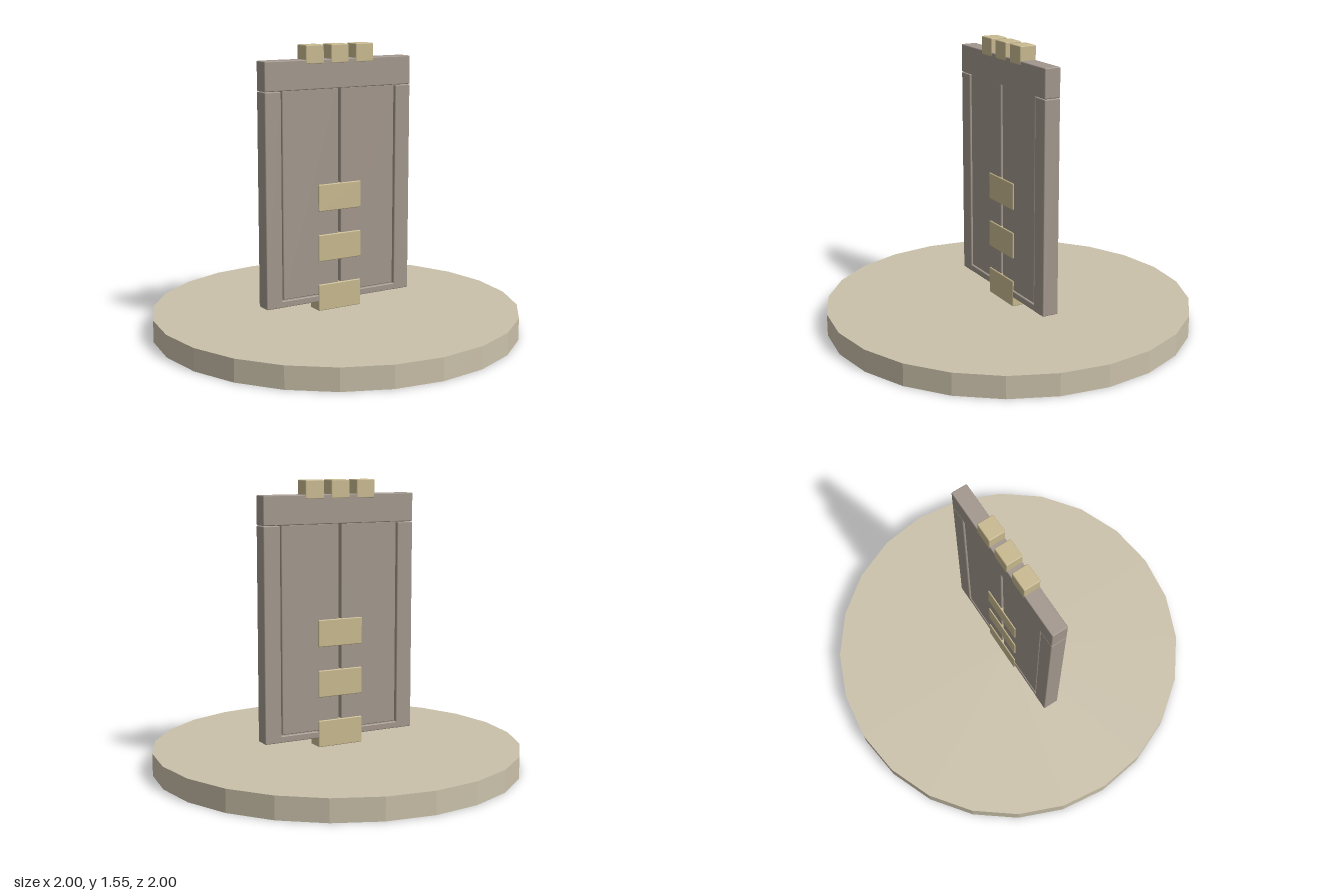
import * as THREE from 'three';
import { RoundedBoxGeometry } from 'three/addons/geometries/RoundedBoxGeometry.js';

export function createModel() {
  const model = new THREE.Group();
  const mat = (name, color) => new THREE.MeshStandardMaterial({ name, color });
  const sand = mat('pale sandstone', 0xcac1aa);
  const gold = mat('tan block', 0xc8b98f);
  const stone = mat('grey brown stone', 0xa2978d);

  // Softly bevelled block given by its x and y limits, centred on z
  function block(name, material, x0, x1, y0, y1, depth, bevel = 0.005) {
    const geo = new RoundedBoxGeometry(x1 - x0, y1 - y0, depth, 1, bevel);
    const mesh = new THREE.Mesh(geo, material);
    mesh.name = name;
    mesh.position.set((x0 + x1) / 2, (y0 + y1) / 2, 0);
    model.add(mesh);
  }

  // Round faceted plinth
  const baseGeo = new THREE.CylinderGeometry(1, 1, 0.12, 24).toNonIndexed();
  baseGeo.computeVertexNormals();
  const base = new THREE.Mesh(baseGeo, sand);
  base.name = 'base';
  base.position.y = 0.06;
  model.add(base);

  // Door frame
  block('lintel', stone, -0.447, 0.447, 1.322, 1.477, 0.09);
  block('sill', stone, -0.36, 0.36, 0.172, 0.208, 0.088);
  for (const [side, s] of [['left', 1], ['right', -1]]) {
    const span = (a, b) => (s > 0 ? [a, b] : [-b, -a]);
    block(side + 'Jamb', stone, ...span(0.353, 0.447), 0.172, 1.32, 0.09);
    // Door leaf, leaving a narrow slit in the middle
    block(side + 'Leaf', stone, ...span(0.008, 0.345), 0.212, 1.325, 0.08);
  }

  // Blocks across the slit, the lowest standing on the plinth
  for (let i = 0; i < 3; i++) {
    const y = 0.12 + i * 0.274;
    block('crossBlock', gold, -0.132, 0.132, y, y + 0.146, 0.094);
  }

  // Crown blocks
  for (const x of [-0.152, 0, 0.152]) {
    block('crownBlock', gold, x - 0.054, x + 0.054, 1.455, 1.553, 0.094);
  }
  return model;
}
